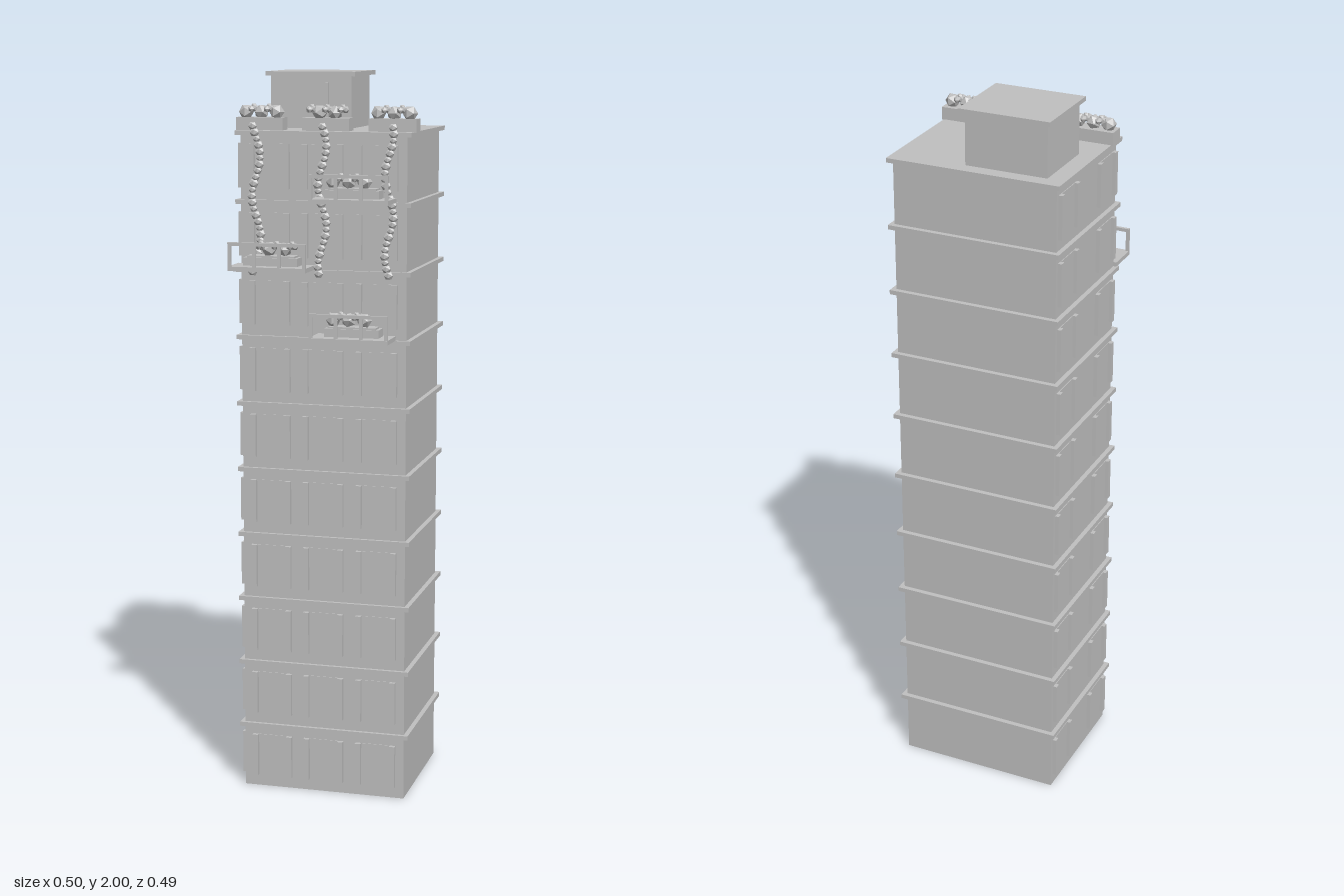
import * as THREE from 'three';

const FLOORS = 10, H = 0.1845;                       // storey count and height
const X0 = -0.232, X1 = 0.229, Z0 = -0.235, Z1 = 0.15; // tower walls

export function createModel() {
  const model = new THREE.Group();
  model.name = 'tower';
  const stone = new THREE.MeshStandardMaterial({ color: 0xc0c0c0 });
  stone.name = 'pale grey';
  const leaf = new THREE.IcosahedronGeometry(1, 0); // unindexed, so facets stay flat

  // box given by its limits on each axis
  function box(parent, name, x0, x1, y0, y1, z0, z1) {
    const mesh = new THREE.Mesh(new THREE.BoxGeometry(x1 - x0, y1 - y0, z1 - z0), stone);
    mesh.position.set((x0 + x1) / 2, (y0 + y1) / 2, (z0 + z1) / 2);
    mesh.name = name;
    parent.add(mesh);
    return mesh;
  }

  function blob(parent, name, x, y, z, rx, ry, rz, turn = 0) {
    const mesh = new THREE.Mesh(leaf, stone);
    mesh.position.set(x, y, z);
    mesh.scale.set(rx, ry, rz);
    mesh.rotation.y = turn;
    mesh.name = name;
    parent.add(mesh);
  }

  // row of plants: round bushes alternating with clusters of small flowers
  function plants(parent, cx, y, z, bushFirst) {
    for (let i = 0; i < 5; i++) {
      const x = cx + (i - 2) * 0.0215;
      if ((i % 2 === 0) === bushFirst) {
        blob(parent, 'bush', x, y, z, 0.021, 0.021, 0.021, i * 0.7);
      } else {
        for (let k = 0; k < 4; k++) {
          const a = k * Math.PI / 2 + 0.4;
          blob(parent, 'flower', x + 0.009 * Math.cos(a), y + 0.008, z + 0.011 * Math.sin(a), 0.01, 0.01, 0.01, a);
        }
        blob(parent, 'flower', x, y + 0.014, z, 0.009, 0.009, 0.009);
      }
    }
  }

  // walls and floor ledges
  box(model, 'walls', X0, X1, 0, FLOORS * H, Z0, Z1);
  for (let f = 1; f <= FLOORS; f++) {
    box(model, 'ledge', -0.245, 0.242, f * H - 0.01, f * H + 0.002, -0.249, 0.16);
  }

  // windows with a pair of shutters, three at the front and two on the -x side
  for (let f = 0; f < FLOORS; f++) {
    const mid = (f + 0.5) * H, a = mid - 0.06, b = mid + 0.06;
    for (const x of [-0.151, -0.002, 0.148]) {
      box(model, 'windowPane', x - 0.04, x + 0.04, a, b, Z1 - 0.002, Z1 + 0.002);
      for (const s of [-1, 1]) {
        box(model, 'shutter', x + s * 0.049 - 0.008, x + s * 0.049 + 0.008, a, b, Z1 - 0.002, Z1 + 0.012);
      }
    }
    for (const z of [-0.167, 0.082]) {
      box(model, 'sideWindowPane', X0 - 0.002, X0 + 0.002, a, b, z - 0.04, z + 0.04);
      for (const s of [-1, 1]) {
        box(model, 'sideShutter', X0 - 0.011, X0 + 0.002, a, b, z + s * 0.049 - 0.008, z + s * 0.049 + 0.008);
      }
    }
  }

  // stair hut on the roof
  const roof = FLOORS * H;
  box(model, 'hutWalls', -0.195, 0.034, roof, 1.99, -0.21, -0.012);
  box(model, 'hutRoof', -0.207, 0.047, 1.988, 2, -0.223, 0);
  box(model, 'hutDoor', -0.11, -0.03, 1.85, 1.97, -0.014, -0.003);

  // roof planters, each with a wavy vine hanging down the front
  [-0.185, -0.001, 0.183].forEach((x, n) => {
    const planter = new THREE.Group();
    planter.name = 'roofPlanter';
    model.add(planter);
    box(planter, 'planterBox', x - 0.065, x + 0.065, roof, roof + 0.036, 0.083, 0.13);
    plants(planter, x, roof + 0.05, 0.107, n === 0 || n === 2);

    const vine = new THREE.Group();
    vine.name = 'vine';
    model.add(vine);
    for (let i = 0; i < 24; i++) {
      const wave = 0.012 * Math.sin(i * 0.5 + n * 0.9 - 0.8);
      const r = 0.013 + 0.002 * Math.sin(i * 2.3);
      blob(vine, 'vineLeaf', x + wave, 1.86 - i * 0.017, 0.163, r, r * 0.85, 0.007);
    }
  });

  // balconies with a front railing and a planter
  for (const [floor, x0, x1, shift] of [[9, -0.016, 0.2, -0.013], [8, -0.241, -0.025, 0.012], [7, -0.016, 0.2, -0.013]]) {
    const balcony = new THREE.Group();
    balcony.name = 'balcony';
    model.add(balcony);
    const y = floor * H, cx = (x0 + x1) / 2;
    box(balcony, 'balconySlab', x0, x1, y + 0.002, y + 0.014, Z1, 0.245);
    box(balcony, 'handrail', x0, x1, y + 0.07, y + 0.079, 0.236, 0.245);
    for (let i = 0; i < 4; i++) {
      const px = x0 + i * (x1 - x0 - 0.009) / 3;
      box(balcony, 'railPost', px, px + 0.009, y + 0.01, y + 0.072, 0.237, 0.244);
    }
    box(balcony, 'balconyPlanter', cx - 0.075, cx + 0.075, y + 0.012, y + 0.036, 0.16, 0.21);
    box(balcony, 'soil', cx - 0.066, cx + 0.066, y + 0.034, y + 0.041, 0.165, 0.206);
    plants(balcony, cx + shift, y + 0.058, 0.185, shift < 0);
  }
  return model;
}
